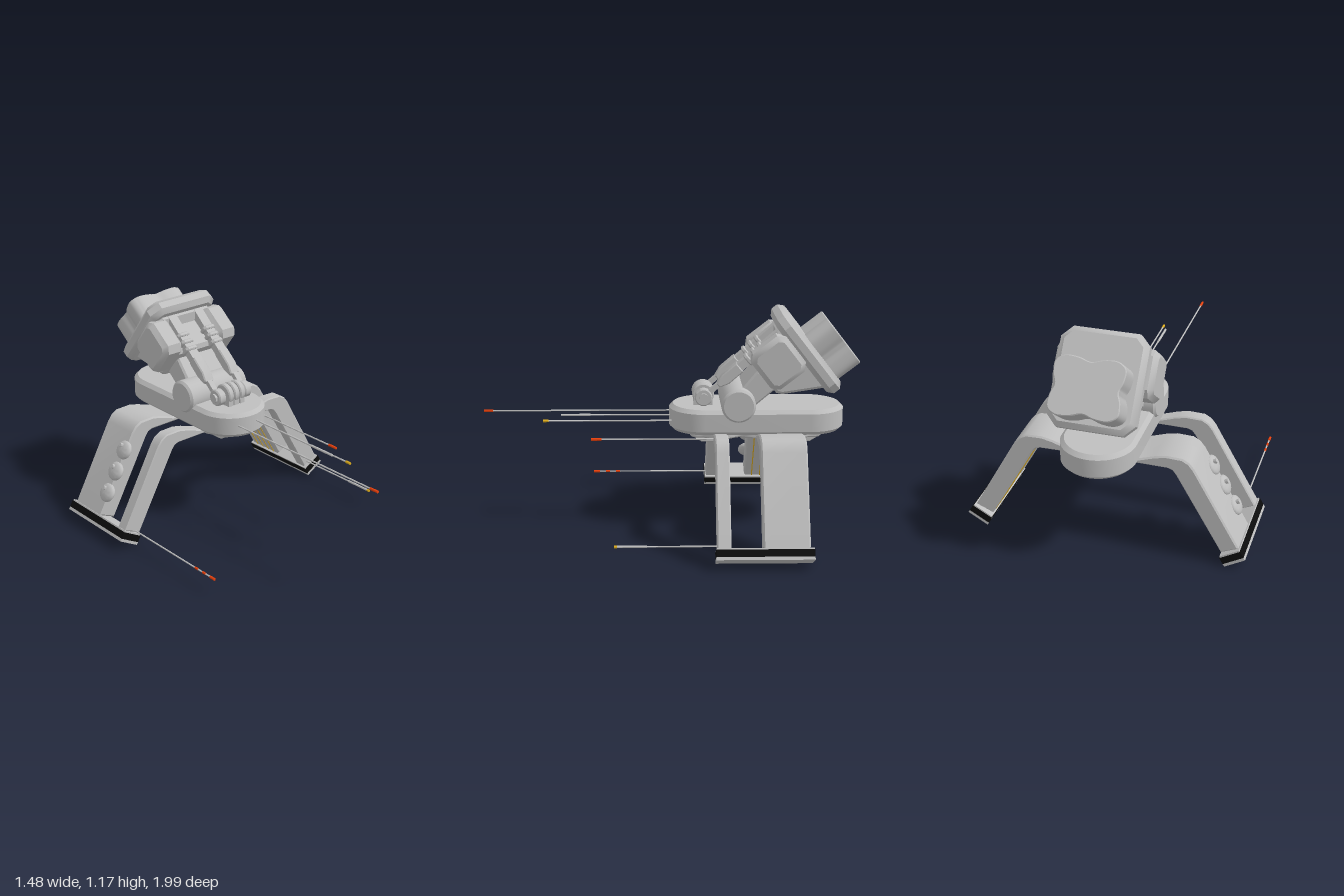
import * as THREE from 'three';
import { toCreasedNormals } from 'three/addons/utils/BufferGeometryUtils.js';

const mat = (name, color) => {
  const m = new THREE.MeshStandardMaterial({ color });
  m.name = name;
  return m;
};

export function createModel() {
  const grey = mat('hull grey', 0xbebebe);
  const black = mat('black', 0x0c0c0c);
  const red = mat('tip red', 0xe8400c);
  const gold = mat('gold', 0xe0ae1c);
  const model = new THREE.Group();
  model.name = 'landingTurret';

  const add = (parent, name, geo, m = grey, pos = [0, 0, 0]) => {
    const mesh = new THREE.Mesh(toCreasedNormals(geo, 0.6), m);
    mesh.name = name;
    mesh.position.set(...pos);
    parent.add(mesh);
    return mesh;
  };
  const shapeOf = (pts) => new THREE.Shape(pts.map(([x, y]) => new THREE.Vector2(x, y)));
  // Prism centred on z whose bevel stays inside the outline
  const prism = (shape, depth, bevel = 0) => new THREE.ExtrudeGeometry(shape, {
    depth: depth - 2 * bevel, bevelEnabled: bevel > 0, bevelThickness: bevel, bevelSize: bevel,
    bevelOffset: -bevel, bevelSegments: 1, curveSegments: 16,
  }).translate(0, 0, -depth / 2 + bevel);
  // Outline given as [z, y], swept along x
  const prismX = (pts, width, bevel) => prism(shapeOf(pts), width, bevel).rotateY(-Math.PI / 2);
  // Outline given as [x, z], swept along y
  const prismY = (shape, height, bevel) => prism(shape, height, bevel).rotateX(Math.PI / 2);
  const octagon = (w, h, c) => [[w, h - c], [w - c, h], [c - w, h], [-w, h - c],
    [-w, c - h], [c - w, -h], [w - c, -h], [w, c - h]];
  const cylX = (r, len, c = 0) => new THREE.LatheGeometry([[0, -len / 2], [r - c, -len / 2],
    [r, -len / 2 + c], [r, len / 2 - c], [r - c, len / 2], [0, len / 2]]
    .map(([a, b]) => new THREE.Vector2(a, b)), 32).rotateZ(Math.PI / 2);
  // Smooth closed outline through a few points
  const loop = (pts, n) => {
    const v = pts.map(([x, y]) => new THREE.Vector3(x, y, 0));
    return shapeOf(new THREE.CatmullRomCurve3(v, true).getPoints(n).slice(0, -1).map((p) => [p.x, p.y]));
  };

  // Stadium-shaped deck
  const stadium = new THREE.Shape();
  stadium.absarc(0, -0.19, 0.19, 0, Math.PI);
  stadium.absarc(0, -0.74, 0.19, Math.PI, Math.PI * 2);
  add(model, 'deck', prismY(stadium, 0.135, 0.02), grey, [0, 0.607, 0]);

  // Scalloped belly plate with lugs at both ends
  const half = [[0, -0.315], [0.05, -0.35], [0.09, -0.335], [0.1, -0.28], [0.135, -0.23], [0.13, -0.15],
    [0.095, -0.09], [0.115, -0.04], [0.115, 0.04], [0.095, 0.09], [0.13, 0.15], [0.135, 0.23],
    [0.1, 0.28], [0.09, 0.335], [0.05, 0.35]];
  add(model, 'bellyPlate', prismY(loop([...half, ...half.map(([x, z]) => [-x, -z])], 120), 0.04, 0.008),
    grey, [0, 0.524, -0.46]);
  for (const s of [1, -1]) {
    for (const e of [1, -1]) {
      const lug = [[0.345, 0.515], [0.2, 0.515], [0.22, 0.48], [0.29, 0.48]].map(([z, y]) => [e * z, y]);
      add(model, 'bellyLug', prismX(lug, 0.035, 0.004), grey, [s * 0.067, 0, -0.46]);
    }
  }

  // Legs: wide rear strap, slim front strap, gold lines and foot
  const inner = [[0.1, 0.52], [0.33, 0.517], [0.355, 0.508], [0.373, 0.485], [0.61, 0.07]];
  const outer = [[0.7, 0.11], [0.465, 0.53], [0.44, 0.562], [0.405, 0.582], [0.32, 0.585],
    [0.265, 0.573], [0.18, 0.545], [0.1, 0.54]];
  for (const s of [1, -1]) {
    const leg = new THREE.Group();
    leg.name = s > 0 ? 'leftLeg' : 'rightLeg';
    model.add(leg);
    const flip = (pts) => shapeOf(pts.map(([x, y]) => [s * x, y]));
    add(leg, 'rearStrap', prism(flip([...inner, ...outer]), 0.235, 0.008), grey, [0, 0, -0.573]);
    const lowered = inner.map(([x, y]) => [x - 0.002, y - 0.002]);
    add(leg, 'frontStrap', prism(flip([...lowered, ...outer]), 0.07, 0.006), grey, [0, 0, -0.262]);
    const line = [...inner, ...inner.map(([x, y]) => [x - 0.0015, y - 0.0015]).reverse()];
    for (let i = 0; i < 4; i++) {
      add(leg, 'goldLine', prism(flip(line), 0.006), gold, [0, 0, -0.5 - i * 0.048]);
    }
    const foot = new THREE.Group();
    foot.name = 'foot';
    foot.position.set(s * 0.672, 0.06, -0.465);
    foot.rotation.z = s * Math.PI / 6;
    leg.add(foot);
    add(foot, 'footTop', new THREE.BoxGeometry(0.112, 0.008, 0.484), grey, [0, 0.027, 0]);
    add(foot, 'footGrip', new THREE.BoxGeometry(0.12, 0.037, 0.488), black, [0, 0.0045, 0]);
    add(foot, 'footSole', new THREE.BoxGeometry(0.12, 0.016, 0.488), grey, [0, -0.022, 0]);
  }

  // Three shallow domes with knobs on the right rear strap
  for (const [x, y] of [[-0.635, 0.222], [-0.573, 0.332], [-0.512, 0.44]]) {
    const dome = new THREE.Group();
    dome.name = 'dome';
    dome.position.set(x, y, -0.475);
    dome.rotation.z = Math.PI / 3;
    model.add(dome);
    add(dome, 'domeShell', new THREE.SphereGeometry(1, 24, 14).scale(0.052, 0.022, 0.056));
    add(dome, 'domeKnob', new THREE.CylinderGeometry(0.012, 0.012, 0.018, 12), grey, [0.02, 0.026, -0.01]);
  }

  // Tilt hub and front hinge on the deck
  add(model, 'tiltHub', cylX(0.09, 0.4, 0.012), grey, [0, 0.7, -0.36]);
  add(model, 'neck', prismX([[-0.37, 0.77], [-0.46, 0.88], [-0.58, 0.8], [-0.44, 0.68]], 0.28, 0.01));
  add(model, 'hingePin', cylX(0.024, 0.25), grey, [0, 0.727, -0.18]);
  for (const x of [-0.04, 0, 0.04]) {
    add(model, 'hingeLug', cylX(0.058, 0.034, 0.006), grey, [x, 0.732, -0.18]);
    add(model, 'hingeFoot', new THREE.BoxGeometry(0.032, 0.07, 0.1), grey, [x, 0.695, -0.18]);
  }

  // Tilted head; local -z runs up and back along its axis
  const head = new THREE.Group();
  head.name = 'head';
  head.position.set(0, 0.968, -0.72);
  head.rotation.x = THREE.MathUtils.degToRad(38);
  model.add(head);
  add(head, 'backPlate', prism(shapeOf(octagon(0.222, 0.246, 0.055)), 0.09, 0.026));
  add(head, 'headBody', prismX([[0, 0.19], [0.06, 0.19], [0.09, 0.145], [0.235, 0.145], [0.255, 0.125],
    [0.255, -0.06], [0.235, -0.085], [0.03, -0.2], [0, -0.2]], 0.34, 0.015));
  for (const s of [1, -1]) {
    add(head, 'sidePod', prismX(octagon(0.112, 0.118, 0.035), 0.13, 0.025), grey, [s * 0.19, 0.077, 0.145]);
  }
  // Four-lobed rear block
  const lobe = [[0.156, 0], [0.172, 0.05], [0.172, 0.112], [0.13, 0.142], [0.06, 0.14]];
  const upper = [...lobe, [0, 0.124], ...lobe.slice(1).reverse().map(([x, y]) => [-x, y])];
  const clover = loop([...upper, ...upper.map(([x, y]) => [-x, -y])], 100);
  add(head, 'rearBlock', prism(clover, 0.168, 0.005), grey, [0, -0.066, -0.104]);

  // Ribbed actuators from the hinge up over the head
  for (const s of [1, -1]) {
    const arm = new THREE.Group();
    arm.name = 'actuator';
    arm.position.set(s * 0.09, 0.727, -0.18);
    arm.rotation.x = THREE.MathUtils.degToRad(41);
    model.add(arm);
    add(arm, 'armEye', cylX(0.046, 0.045, 0.006));
    add(arm, 'armRod', new THREE.BoxGeometry(0.03, 0.026, 0.24), grey, [0, 0, -0.12]);
    add(arm, 'armClevis', prismX([[-0.1, 0.012], [-0.15, 0.03], [-0.25, 0.03], [-0.25, -0.03],
      [-0.15, -0.03], [-0.1, -0.012]], 0.06, 0.006));
    add(arm, 'armSleeve', new THREE.BoxGeometry(0.055, 0.044, 0.28), grey, [0, 0, -0.39]);
    for (const z of [-0.31, -0.355, -0.4]) {
      add(arm, 'armRib', prism(shapeOf(octagon(0.038, 0.032, 0.012)), 0.024, 0.006), grey, [0, 0, z]);
    }
  }

  // Antennas: x, y, start z, end z, tip length, tip material, start of thick section
  for (const [x, y, z0, z1, tip, m, thick] of [
    [-0.083, 0.61, -0.05, 1, 0.05, red],
    [0.03, 0.615, -0.05, 0.575, 0, null, 0.42],
    [0.065, 0.592, -0.05, 0.67, 0.03, gold],
    [0.225, 0.535, -0.25, 0.41, 0.055, red],
    [-0.635, 0.088, -0.25, 0.435, 0.035, red],
    [0.63, 0.095, -0.28, 0.285, 0.015, gold, 0.12],
  ]) {
    const antenna = new THREE.Group();
    antenna.name = 'antenna';
    antenna.position.set(x, y, 0);
    model.add(antenna);
    const rod = (name, a, b, r, mm) => add(antenna, name,
      new THREE.CylinderGeometry(r, r, b - a, 10).rotateX(Math.PI / 2), mm, [0, 0, (a + b) / 2]);
    rod('antennaRod', z0, z1 - tip, 0.0042, grey);
    if (thick) rod('antennaSleeve', thick, z1 - tip, 0.0065, grey);
    if (tip) rod('antennaTip', z1 - tip, z1, 0.007, m);
    if (x < -0.5) for (const z of [0.28, 0.34]) rod('antennaBand', z, z + 0.025, 0.006, red);
  }
  return model;
}
